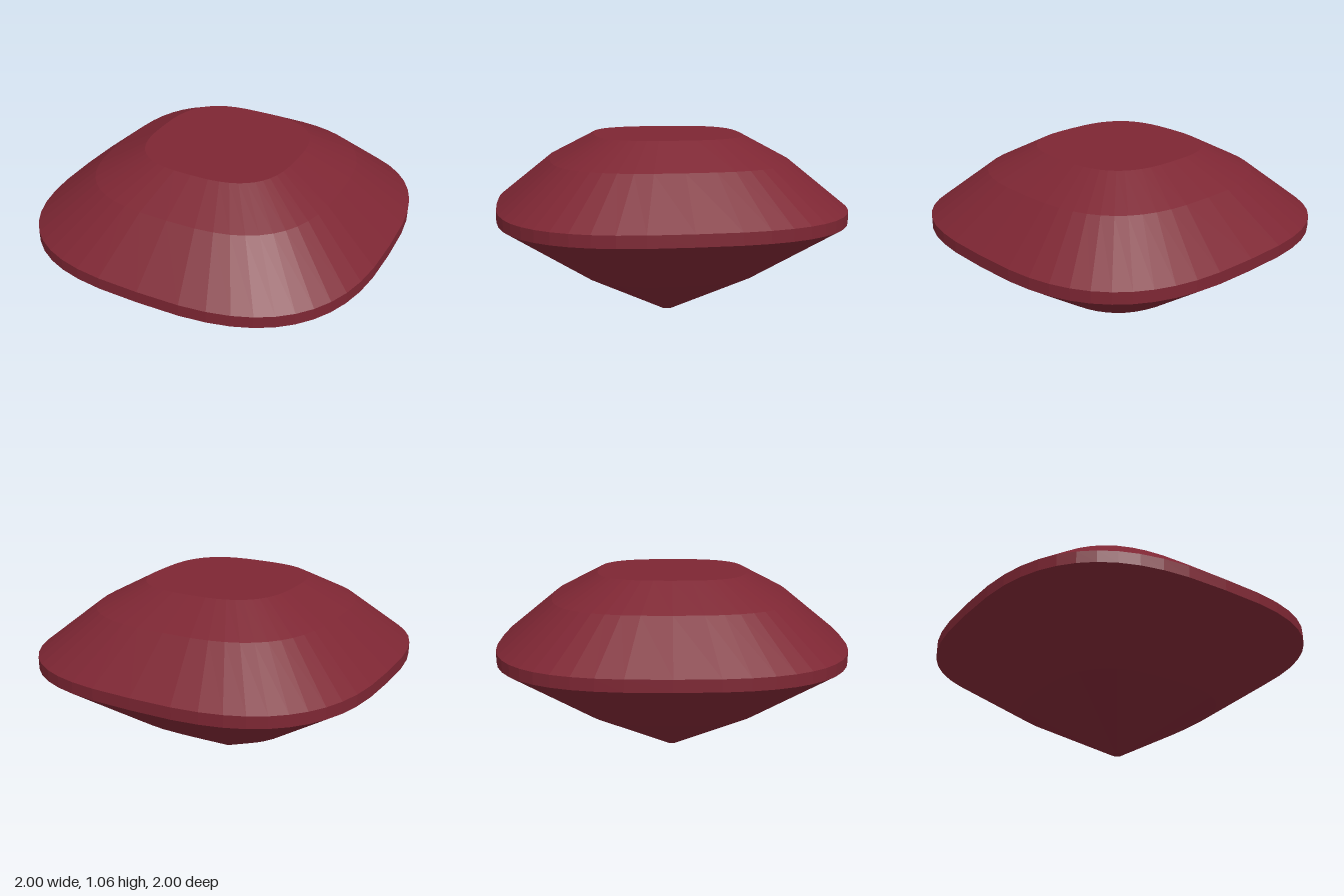
import * as THREE from 'three';

const SEGMENTS = 48;
const EXPONENT = 2.85; // squareness of the cushion outline
const TURN = THREE.MathUtils.degToRad(5);
const WIDTH = 0.99; // half width before the turn

const square = (v) => (Math.abs(v) < 1e-9 ? 0 : Math.sign(v) * Math.abs(v) ** (2 / EXPONENT));

// Lathe a band of the profile, then push each ring out to a rounded square
function band(points) {
  const geometry = new THREE.LatheGeometry(points.map(([r, y]) => new THREE.Vector2(r, y)), SEGMENTS);
  const p = geometry.attributes.position;
  for (let i = 0; i < p.count; i++) {
    const r = Math.hypot(p.getX(i), p.getZ(i));
    if (r < 1e-6) continue;
    p.setX(i, r * WIDTH * square(p.getX(i) / r));
    p.setZ(i, r * WIDTH * square(p.getZ(i) / r));
  }
  geometry.rotateY(TURN);
  const faceted = geometry.toNonIndexed();
  faceted.computeVertexNormals();
  return faceted;
}

export function createModel() {
  const gem = new THREE.Group();
  gem.name = 'cushionCutGem';
  const red = new THREE.MeshStandardMaterial({ color: 0x7d2633, flatShading: true });
  red.name = 'garnet red';

  // Profiles run from bottom to top as [radius, height]
  const parts = {
    culet: [[0, 0], [0.03, 0]],
    pavilion: [[0.03, 0], [0.525, 0.275], [1, 0.603]],
    girdle: [[1, 0.603], [1, 0.669]],
    crown: [[1, 0.669], [0.69, 0.92], [0.43, 1.058]],
    table: [[0.43, 1.058], [0, 1.058]],
  };
  for (const [name, points] of Object.entries(parts)) {
    const mesh = new THREE.Mesh(band(points), red);
    mesh.name = name;
    gem.add(mesh);
  }
  return gem;
}
